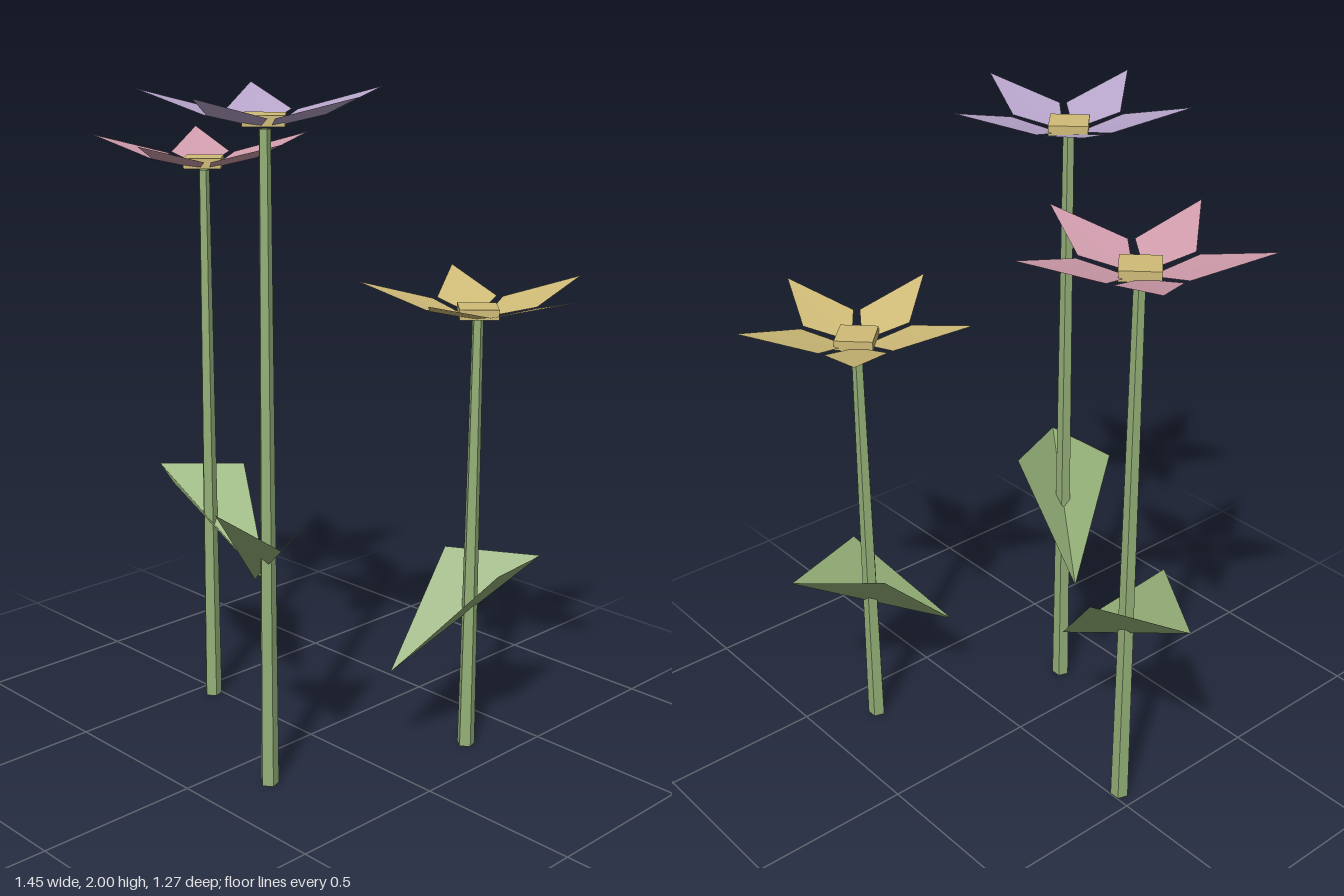
import * as THREE from 'three';

const mat = (name, color) => new THREE.MeshStandardMaterial({ name, color, flatShading: true, side: THREE.DoubleSide });

// Flat-faced surface from a few corner points and triangles
function facets(points, faces) {
  const geo = new THREE.BufferGeometry();
  geo.setAttribute('position', new THREE.Float32BufferAttribute(faces.flatMap((i) => points[i]), 3));
  geo.computeVertexNormals();
  return geo;
}

export function createModel() {
  const green = mat('leafGreen', 0x94b078);
  const yellow = mat('yellow', 0xd0bc78);
  const pink = mat('pink', 0xd09cac);
  const lilac = mat('lilac', 0xb8a6cc);

  // Flat kite petal pointing along +x, rising to its tip
  const petalGeo = facets(
    [[0.025, 0.005, 0], [0.14, 0.04, 0.09], [0.35, 0.1, 0], [0.14, 0.04, -0.09]],
    [0, 1, 2, 0, 2, 3]);

  // Leaf folded along a sloping crease, pierced by the stem
  const leafGeo = facets(
    [[-0.252, 0, 0], [0, 0.024, 0.147], [0.272, -0.28, 0], [0, 0.024, -0.147]],
    [0, 1, 2, 0, 2, 3]);

  const centreGeo = new THREE.CylinderGeometry(0.08, 0.08, 0.03, 4);

  const add = (parent, name, geo, material, y = 0, turn = 0) => {
    const mesh = new THREE.Mesh(geo, material);
    mesh.name = name;
    mesh.position.y = y;
    mesh.rotation.y = turn;
    parent.add(mesh);
  };

  function flower(name, color, x, z, height, leafY, leafTurn) {
    const g = new THREE.Group();
    g.name = name;
    g.position.set(x, 0, z);
    add(g, 'stem', new THREE.CylinderGeometry(0.017, 0.028, height, 5), green, height / 2);
    add(g, 'leaf', leafGeo, green, leafY, leafTurn);
    for (let i = 0; i < 5; i++) add(g, 'petal', petalGeo, color, height, (i * Math.PI * 2) / 5);
    add(g, 'flowerCentre', centreGeo, yellow, height + 0.024);
    return g;
  }

  const model = new THREE.Group();
  model.name = 'flowers';
  model.add(
    flower('pinkFlower', pink, -0.442, 0.025, 1.722, 0.74, 0),
    flower('lilacFlower', lilac, 0.14, 0.303, 1.9, 0.815, 2.553),
    flower('yellowFlower', yellow, 0.373, -0.305, 1.337, 0.575, -1.864));
  return model;
}
